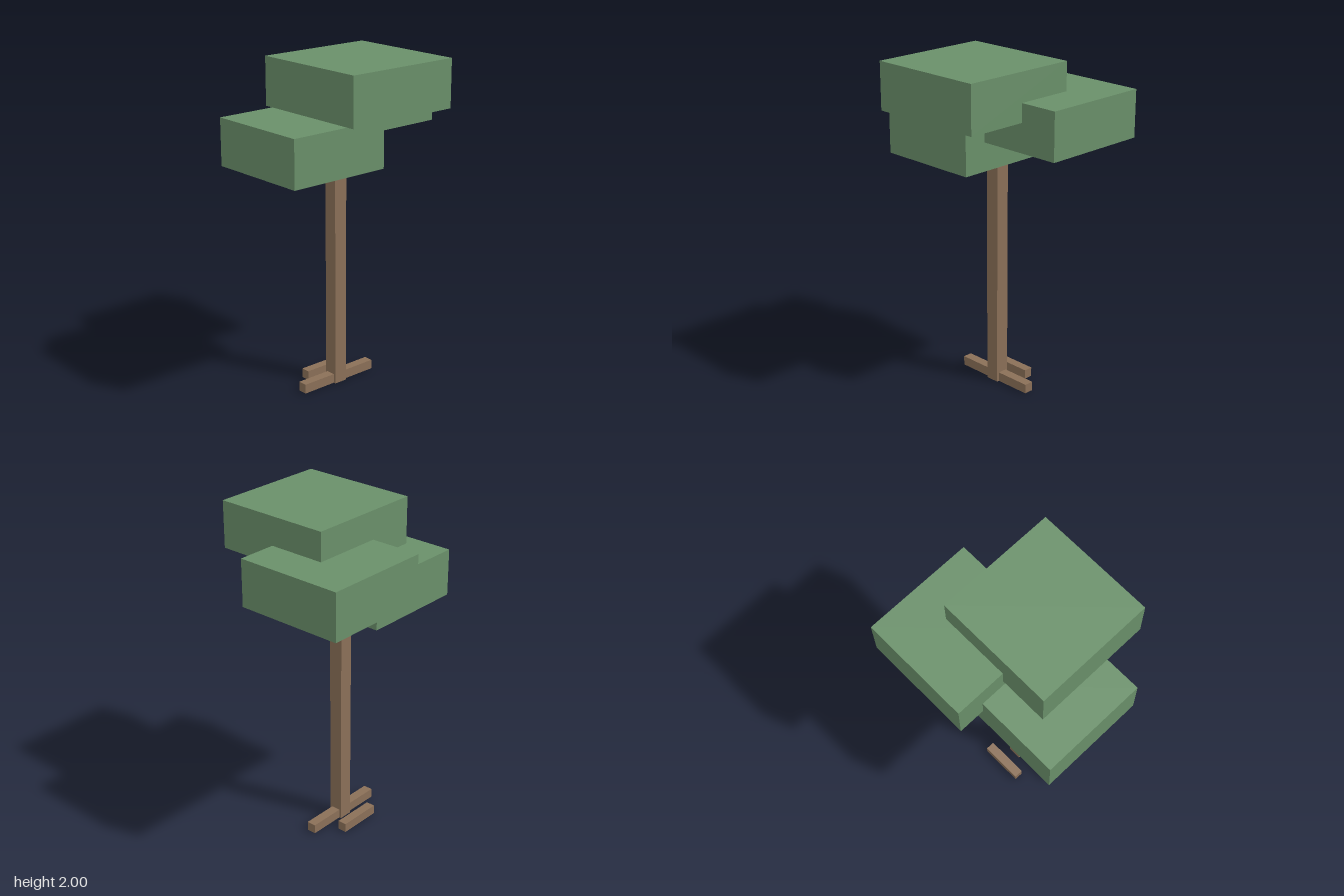
import * as THREE from 'three';

export function createModel() {
  const tree = new THREE.Group();
  tree.name = 'blockTree';
  const bark = new THREE.MeshStandardMaterial({ color: 0x8b7058, flatShading: true });
  const leaves = new THREE.MeshStandardMaterial({ color: 0x6a906a, flatShading: true });

  // Box given by its extents on each axis
  function block(name, material, [x0, x1], [y0, y1], [z0, z1]) {
    const mesh = new THREE.Mesh(new THREE.BoxGeometry(x1 - x0, y1 - y0, z1 - z0), material);
    mesh.position.set((x0 + x1) / 2, (y0 + y1) / 2, (z0 + z1) / 2);
    mesh.name = name;
    tree.add(mesh);
  }

  // Trunk, ending inside the lowest leaf block
  block('trunk', bark, [-0.058, 0.027], [0, 1.5], [-0.073, 0.012]);

  // Roots: one through the trunk, a shorter one behind it
  block('longRoot', bark, [-0.28, 0.25], [0, 0.057], [-0.06, -0.003]);
  block('backRoot', bark, [-0.148, 0.119], [0, 0.057], [-0.19, -0.135]);

  // Stepped leaf blocks
  block('lowerLeaves', leaves, [-0.583, 0.06], [1.38, 1.66], [-0.357, 0.288]);
  block('middleLeaves', leaves, [-0.081, 0.583], [1.55, 1.83], [-0.519, 0.144]);
  block('topLeaves', leaves, [-0.375, 0.345], [1.72, 2], [-0.207, 0.516]);

  return tree;
}
